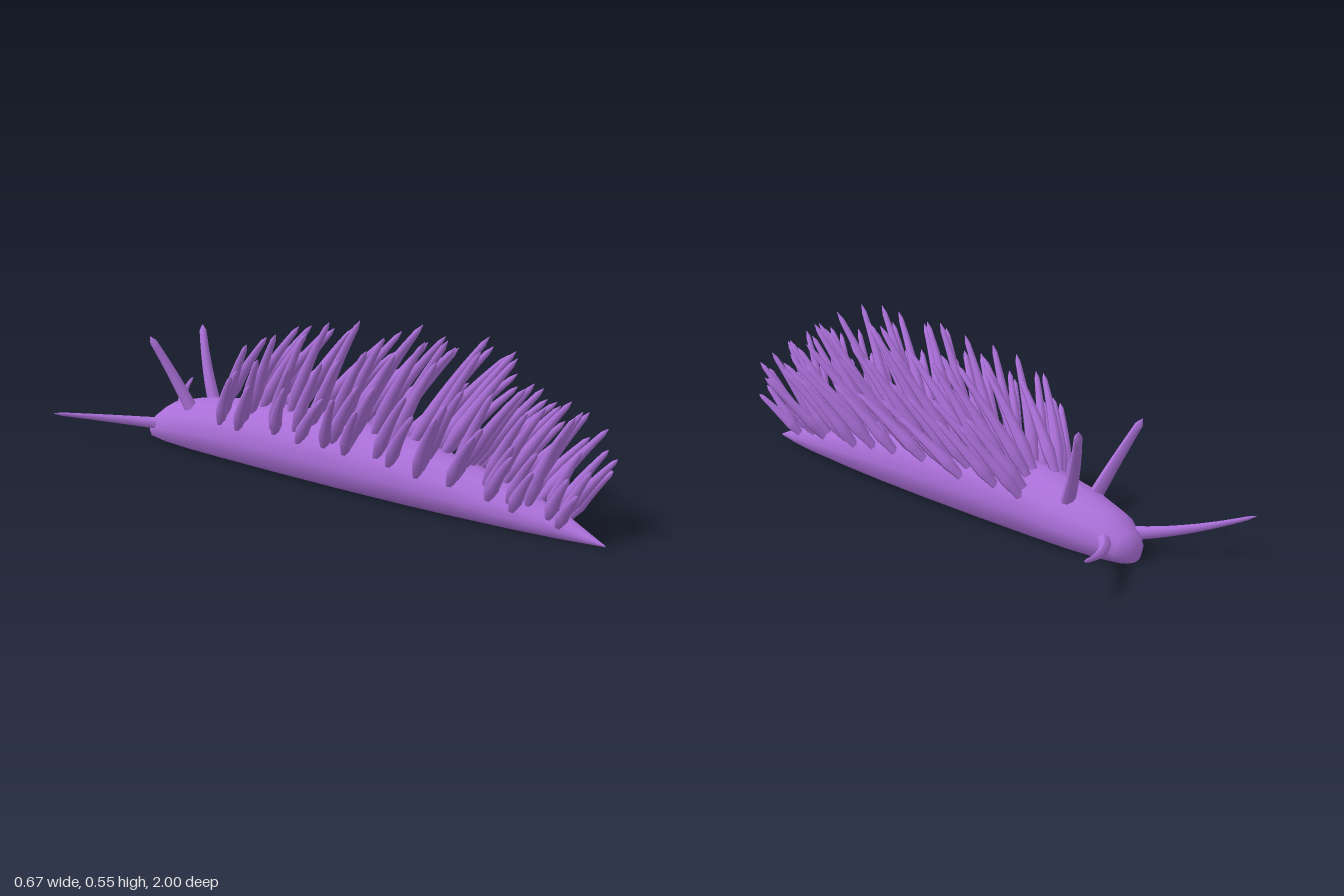
import * as THREE from 'three';

const purple = new THREE.MeshStandardMaterial({ color: 0xaa6fd8 });
purple.name = 'purple skin';

// Body stations from head to tail: z, half width, height
const STATIONS = [
  [-0.843, 0, 0.03], [-0.838, 0.034, 0.055], [-0.82, 0.06, 0.082], [-0.75, 0.092, 0.132],
  [-0.62, 0.114, 0.168], [-0.45, 0.124, 0.196], [-0.2, 0.131, 0.209], [0.05, 0.131, 0.207],
  [0.3, 0.122, 0.186], [0.5, 0.105, 0.152], [0.7, 0.078, 0.107], [0.85, 0.047, 0.066],
  [1.0, 0, 0.004],
];
const SIDES = 12;

// Width and height of the body at z
function bodyAt(z) {
  let i = 0;
  while (i < STATIONS.length - 2 && STATIONS[i + 1][0] < z) i++;
  const a = STATIONS[i], b = STATIONS[i + 1];
  const t = (z - a[0]) / (b[0] - a[0]);
  return { w: THREE.MathUtils.lerp(a[1], b[1], t), h: THREE.MathUtils.lerp(a[2], b[2], t) };
}

// Point on the oval section, flattened and slightly widened against the ground
function skinPoint(w, h, angle) {
  const y = h * (0.41 + 0.59 * Math.sin(angle));
  return [w * Math.cos(angle) * (y < 0 ? 1.14 : 1), Math.max(0, y)];
}

function bodyGeometry() {
  const pos = [], index = [];
  STATIONS.forEach(([z, w, h], i) => {
    for (let j = 0; j < SIDES; j++) {
      const [x, y] = skinPoint(w, h, (j / SIDES) * Math.PI * 2);
      pos.push(x, y, z);
      if (i === STATIONS.length - 1) continue;
      const a = i * SIDES + j, b = i * SIDES + ((j + 1) % SIDES);
      index.push(a, b, a + SIDES, b, b + SIDES, a + SIDES);
    }
  });
  const g = new THREE.BufferGeometry();
  g.setAttribute('position', new THREE.Float32BufferAttribute(pos, 3));
  g.setIndex(index);
  g.computeVertexNormals();
  return g;
}

// Curved spike: narrow root r0, widest r1 near the root, tapering to r2 and a short point
function spike(name, from, bend, to, r0, r1, r2, sides = 6) {
  const path = new THREE.QuadraticBezierCurve3(from, bend, to);
  const segs = 14, widest = 3;
  const g = new THREE.TubeGeometry(path, segs, 1, sides);
  const p = g.attributes.position, v = new THREE.Vector3();
  for (let i = 0; i <= segs; i++) {
    const c = path.getPointAt(i / segs);
    let r = 0.001;
    if (i < widest) r = THREE.MathUtils.lerp(r0, r1, i / widest);
    else if (i < segs) r = THREE.MathUtils.lerp(r1, r2, (i - widest) / (segs - 1 - widest));
    for (let j = 0; j <= sides; j++) {
      const k = i * (sides + 1) + j;
      v.fromBufferAttribute(p, k).sub(c).multiplyScalar(r).add(c);
      p.setXYZ(k, v.x, v.y, v.z);
    }
  }
  g.computeVertexNormals();
  const m = new THREE.Mesh(g, purple);
  m.name = name;
  return m;
}

export function createModel() {
  const model = new THREE.Group();
  model.name = 'seaSlug';
  const V = (x, y, z) => new THREE.Vector3(x, y, z);

  const body = new THREE.Mesh(bodyGeometry(), purple);
  body.name = 'body';
  model.add(body);

  // Paired head feelers
  for (const s of [-1, 1]) {
    model.add(spike('upperFeeler', V(s * 0.055, 0.135, -0.615), V(s * 0.075, 0.25, -0.675),
      V(s * 0.125, 0.385, -0.737), 0.022, 0.02, 0.012, 8));
    model.add(spike('mouthTentacle', V(s * 0.05, 0.06, -0.765), V(s * 0.15, 0.075, -0.905),
      V(s * 0.335, 0.114, -1.0), 0.022, 0.018, 0.006, 8));
  }

  // Rows of back spikes, leaning outwards and towards the tail
  let seed = 7;
  const jitter = (amount) => {
    seed = (seed * 16807) % 2147483647;
    return (seed / 2147483647 - 0.5) * 2 * amount;
  };
  const spikes = new THREE.Group();
  spikes.name = 'backSpikes';
  const rowScale = [0.82, 0.88, 0.88, 0.92, 1, 0.98, 1.04, 0.98, 0.93, 0.87, 0.78, 0.6];
  rowScale.forEach((scale, row) => {
    for (const s of [-1, 1]) {
      for (let k = 0; k < 4; k++) {
        const z = -0.45 + row * 0.117 + jitter(0.03);
        const { w, h } = bodyAt(z);
        const around = THREE.MathUtils.degToRad(76 - k * 16 + jitter(6));
        const [x, y] = skinPoint(w * 0.95, h * 0.96, around);
        const lean = THREE.MathUtils.degToRad(8 + k * 7.7 + jitter(5));
        const len = scale * (0.34 - k * 0.027) * (1 + jitter(0.14));
        const dx = Math.sin(lean) * len, dy = Math.cos(lean) * len;
        const dz = scale * (0.235 - k * 0.017 + jitter(0.025));
        const r = 0.75 + 0.25 * scale;
        spikes.add(spike('backSpike', V(s * x, y, z),
          V(s * (x + dx * 0.54), y + dy * 0.54, z + dz * 0.45),
          V(s * (x + dx), y + dy, z + dz), 0.013 * r, 0.022 * r, 0.009 * r));
      }
    }
  });
  model.add(spikes);
  return model;
}
